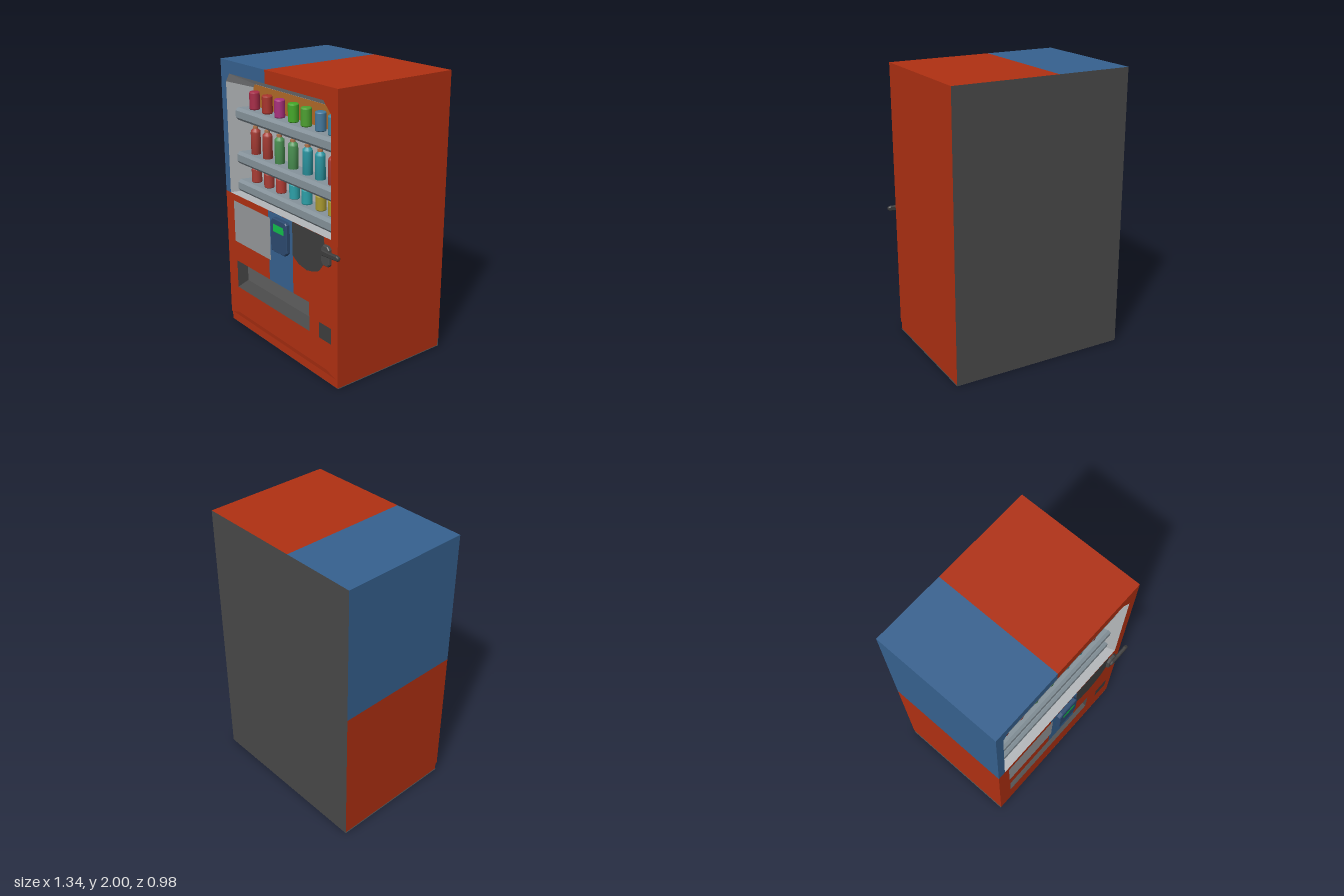
import * as THREE from 'three';

const RED = 0xb03012, BLUE = 0x36618f, DARK = 0x484848, PALE = 0xb4b7ba, STEEL = 0x86939b;
const L = -0.67, R = 0.62, TOP = 2, FRONT = 0.445, BACK = -0.49, SPLIT = -0.135, WAIST = 1.04;

const mat = (color, extra = {}) => new THREE.MeshStandardMaterial({ color, side: THREE.DoubleSide, ...extra });

export function createModel() {
  const model = new THREE.Group();
  model.name = 'vendingMachine';

  const add = (name, geometry, color, parent = model) => {
    const mesh = new THREE.Mesh(geometry, mat(color));
    mesh.name = name;
    parent.add(mesh);
    return mesh;
  };
  const toShape = (pts) => new THREE.Shape(pts.map(([x, y]) => new THREE.Vector2(x, y)));
  const rect = (x0, y0, x1, y1) => [[x0, y0], [x1, y0], [x1, y1], [x0, y1]];

  // Flat outline facing the front
  const face = (name, color, pts, z = FRONT, holes = []) => {
    const shape = toShape(pts);
    holes.forEach((h) => shape.holes.push(toShape(h)));
    const mesh = add(name, new THREE.ShapeGeometry(shape), color);
    mesh.position.z = z;
    return mesh;
  };
  // Bevelled slab cut from an outline, front at z1
  const slab = (name, color, pts, z0, z1, bevel = 0.006) => {
    const geo = new THREE.ExtrudeGeometry(toShape(pts), {
      depth: z1 - z0 - bevel, bevelEnabled: true, bevelSegments: 1,
      bevelThickness: bevel, bevelSize: bevel, bevelOffset: -bevel,
    });
    const mesh = add(name, geo, color);
    mesh.position.z = z0;
    return mesh;
  };
  // Flat four-cornered panels
  const quads = (name, color, list) => {
    const pos = [];
    list.forEach(([a, b, c, d]) => pos.push(...a, ...b, ...c, ...a, ...c, ...d));
    const geo = new THREE.BufferGeometry();
    geo.setAttribute('position', new THREE.Float32BufferAttribute(pos, 3));
    geo.computeVertexNormals();
    return add(name, geo, color);
  };
  // Pocket walls joining a front outline (counterclockwise) to a back outline
  const pocket = (name, color, front, back, z0, z1) => quads(name, color, front.map((p, i) => {
    const j = (i + 1) % front.length;
    return [[...p, z0], [...back[i], z1], [...back[j], z1], [...front[j], z0]];
  }));
  const sidePanel = (x, y0, y1, s) => {
    const q = [[x, y0, BACK], [x, y0, FRONT], [x, y1, FRONT], [x, y1, BACK]];
    return s > 0 ? q.reverse() : q;
  };
  const topPanel = (x0, x1) => [[x0, TOP, FRONT], [x1, TOP, FRONT], [x1, TOP, BACK], [x0, TOP, BACK]];

  // Cabinet shell
  const KICK = 0.06, INSET = 0.006;
  quads('rightSide', RED, [sidePanel(R, KICK, TOP, 1)]);
  quads('leftSideLower', RED, [sidePanel(L, KICK, WAIST, -1)]);
  quads('leftSideUpper', BLUE, [sidePanel(L, WAIST, TOP, -1)]);
  quads('topBlue', BLUE, [topPanel(L, SPLIT)]);
  quads('topRed', RED, [topPanel(SPLIT, R)]);
  quads('backPanel', DARK, [[[R, 0, BACK], [L, 0, BACK], [L, TOP, BACK], [R, TOP, BACK]]]);

  // Plinth, set in slightly
  const base = add('plinth', new THREE.BoxGeometry(R - L - 2 * INSET, KICK, FRONT - BACK - INSET - 0.002), RED);
  base.position.set((L + R) / 2, KICK / 2, (FRONT + BACK - INSET + 0.002) / 2);
  quads('underside', DARK, [[[L, 0.0, BACK], [R, 0.0, BACK], [R, 0.0, FRONT - INSET], [L, 0.0, FRONT - INSET]]])
    .position.y = -0.001;
  quads('toeSlope', RED, [[[L, KICK, FRONT - INSET], [R, KICK, FRONT - INSET], [0.5, 0.095, FRONT], [-0.56, 0.095, FRONT]]]);

  // Front frame around the display window
  const win = [[-0.61, WAIST], [0.555, WAIST], [0.555, 1.835], [0.48, 1.91], [-0.565, 1.91], [-0.61, 1.85]];
  face('frameBlue', BLUE, [[L, WAIST], [-0.61, WAIST], [-0.61, 1.85], [-0.565, 1.91], [SPLIT, 1.91], [SPLIT, TOP], [L, TOP]]);
  face('frameRed', RED, [[SPLIT, 1.91], [0.48, 1.91], [0.555, 1.835], [0.555, WAIST], [R, WAIST], [R, TOP], [SPLIT, TOP]]);

  // Lower front with the delivery opening
  const slot = rect(-0.56, 0.305, 0.32, 0.52);
  face('lowerFront', RED, [[L, KICK], [-0.56, 0.095], [0.5, 0.095], [R, KICK], [R, WAIST], [L, WAIST]], FRONT, [slot]);
  const slotBack = rect(-0.56, 0.335, 0.32, 0.52);
  pocket('deliveryWalls', DARK, slot, slotBack, FRONT, FRONT - 0.09);
  face('deliveryFlap', 0x606060, slotBack, FRONT - 0.09);

  // Flush front panels
  face('blueStrip', BLUE, rect(SPLIT, 0.52, 0.145, WAIST), FRONT + 0.001);
  face('noticePanel', 0x95989b, rect(-0.57, 0.675, -0.115, 0.99), FRONT + 0.002);
  face('coinPanel', 0x3e3e3e, [[0.145, 0.80], [0.21, 0.76], [0.30, 0.745], [0.37, 0.76], [0.43, 0.785],
    [0.475, 0.84], [0.495, 0.9], [0.485, WAIST], [0.145, WAIST]], FRONT + 0.002);
  face('coinReturn', 0x3e3e3e, rect(0.43, 0.305, 0.555, 0.42), FRONT + 0.002);

  // Card reader with screen
  slab('cardReader', 0x2c4a70, [[-0.07, 0.775], [0.085, 0.775], [0.115, 0.805], [0.115, 1.005], [0.1, 1.02],
    [-0.04, 1.02], [-0.07, 0.99]], FRONT, 0.475);
  face('readerScreen', 0x12c04c, rect(-0.035, 0.925, 0.085, 0.98), 0.477);

  // Lock plate and lever handle
  slab('handlePlate', DARK, [[0.495, 0.855], [0.545, 0.855], [0.56, 0.875], [0.56, 0.975], [0.54, 0.995],
    [0.5, 0.995], [0.475, 0.965], [0.475, 0.88]], FRONT, 0.468);
  slab('handleLever', 0x3e3e3e, [[0.485, 0.945], [0.5, 0.927], [0.55, 0.93], [0.66, 0.938], [0.67, 0.95],
    [0.668, 0.965], [0.65, 0.972], [0.56, 0.967], [0.505, 0.968]], 0.466, 0.485);

  // Display recess, tapering towards its back wall
  const WALL = 0.25;
  const inner = [[-0.56, WAIST], [0.48, WAIST], [0.48, 1.79], [0.46, 1.815], [-0.54, 1.815], [-0.56, 1.79]];
  pocket('displayWalls', PALE, win, inner, FRONT, WALL);
  face('displayBack', PALE, inner, WALL);
  face('orangeBackdrop', 0xb06a28, rect(-0.56, 1.66, 0.48, 1.815), WALL + 0.003);

  // Shelves
  const profile = toShape([[WALL - 0.01, 0], [0.37, 0], [0.387, 0.02], [0.387, 0.07], [0.368, 0.09], [WALL - 0.01, 0.09]]);
  const shelfGeo = new THREE.ExtrudeGeometry(profile, { depth: 1.163, bevelEnabled: false });
  shelfGeo.rotateY(-Math.PI / 2).translate(0.554, 0, 0);
  [1.57, 1.25, 1.041].forEach((y, i) => { add('shelf' + (i + 1), shelfGeo, STEEL).position.y = y; });

  // Drinks
  const lathe = (pts) => new THREE.LatheGeometry(pts.map(([r, y]) => new THREE.Vector2(r, y)), 14);
  const can = (h) => lathe([[0, 0], [0.033, 0], [0.037, 0.006], [0.037, 0.006], [0.037, h - 0.008], [0.037, h - 0.008], [0.032, h], [0, h]]);
  const bottle = lathe([[0, 0], [0.035, 0], [0.035, 0.155], [0.033, 0.168], [0.018, 0.183], [0.016, 0.19]]);
  const cap = new THREE.CylinderGeometry(0.018, 0.018, 0.016, 12).translate(0, 0.192, 0);
  const rows = [
    { name: 'topCan', y: 1.66, geo: can(0.125),
      xs: [-0.465, -0.31, -0.165, -0.01, 0.13, 0.28, 0.41],
      colors: [0xa82c48, 0xa8342c, 0xa8307c, 0x44a828, 0x4ca030, 0x44789c, 0x4484a0] },
    { name: 'bottle', y: 1.34, geo: bottle, cap,
      xs: [-0.465, -0.32, -0.175, -0.02, 0.14, 0.275, 0.41],
      colors: [0xa83c34, 0xa83c34, 0x4c9454, 0x4c9454, 0x2c98a4, 0x2c98a4, 0xa83c34] },
    { name: 'bottomCan', y: 1.13, geo: can(0.105),
      xs: [-0.465, -0.31, -0.165, -0.01, 0.13, 0.28, 0.41],
      colors: [0xa83c34, 0xa83c34, 0xb03c34, 0x2ca0a8, 0x2ca0a8, 0xa89830, 0xa89830] },
  ];
  rows.forEach((row) => row.xs.forEach((x, i) => {
    const drink = new THREE.Group();
    drink.name = row.name + (i + 1);
    drink.position.set(x, row.y, 0.31);
    add('body', row.geo, row.colors[i], drink);
    if (row.cap) add('cap', row.cap, 0xb0744c, drink);
    model.add(drink);
  }));

  return model;
}
